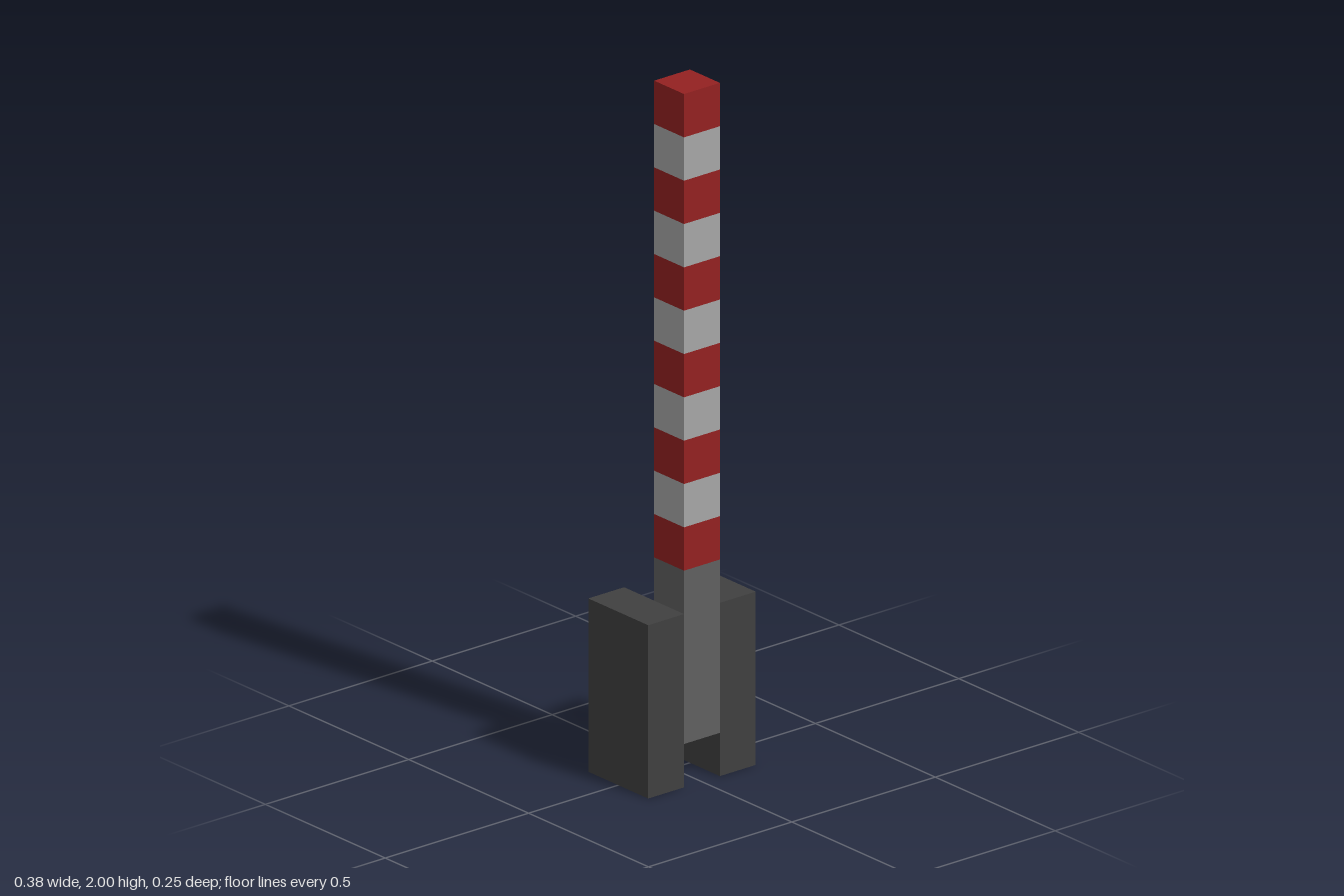
import * as THREE from 'three';

const UNIT = 0.125; // every dimension is a multiple of this module

function material(name, color) {
  const m = new THREE.MeshStandardMaterial({ color });
  m.name = name;
  return m;
}

export function createModel() {
  const red = material('red', 0x932121);
  const lightGrey = material('light grey', 0xa6a6a6);
  const midGrey = material('mid grey', 0x5f5f5f);
  const darkGrey = material('dark grey', 0x404040);

  const model = new THREE.Group();
  model.name = 'barrier';

  // Box given by its size and the centre of its base
  function block(name, parent, mat, [w, h, d], [x, y, z]) {
    const geometry = new THREE.BoxGeometry(w, h, d).translate(0, h / 2, 0);
    const mesh = new THREE.Mesh(geometry, mat);
    mesh.name = name;
    mesh.position.set(x, y, z);
    parent.add(mesh);
  }

  // Two upright supports with a one-module gap between them
  for (const [name, side] of [['leftSupport', 1], ['rightSupport', -1]]) {
    block(name, model, darkGrey, [UNIT, 4 * UNIT, 2 * UNIT], [side * UNIT, 0, 0]);
  }

  // Raised arm: plain foot held between the supports, then alternating bands
  const arm = new THREE.Group();
  arm.name = 'arm';
  arm.position.set(0, UNIT, UNIT / 2);
  model.add(arm);
  block('armFoot', arm, midGrey, [UNIT, 4 * UNIT, UNIT], [0, 0, 0]);
  for (let i = 0; i < 11; i++) {
    const isRed = i % 2 === 0;
    block(isRed ? 'redBand' : 'lightBand', arm, isRed ? red : lightGrey,
      [UNIT, UNIT, UNIT], [0, (4 + i) * UNIT, 0]);
  }

  return model;
}
